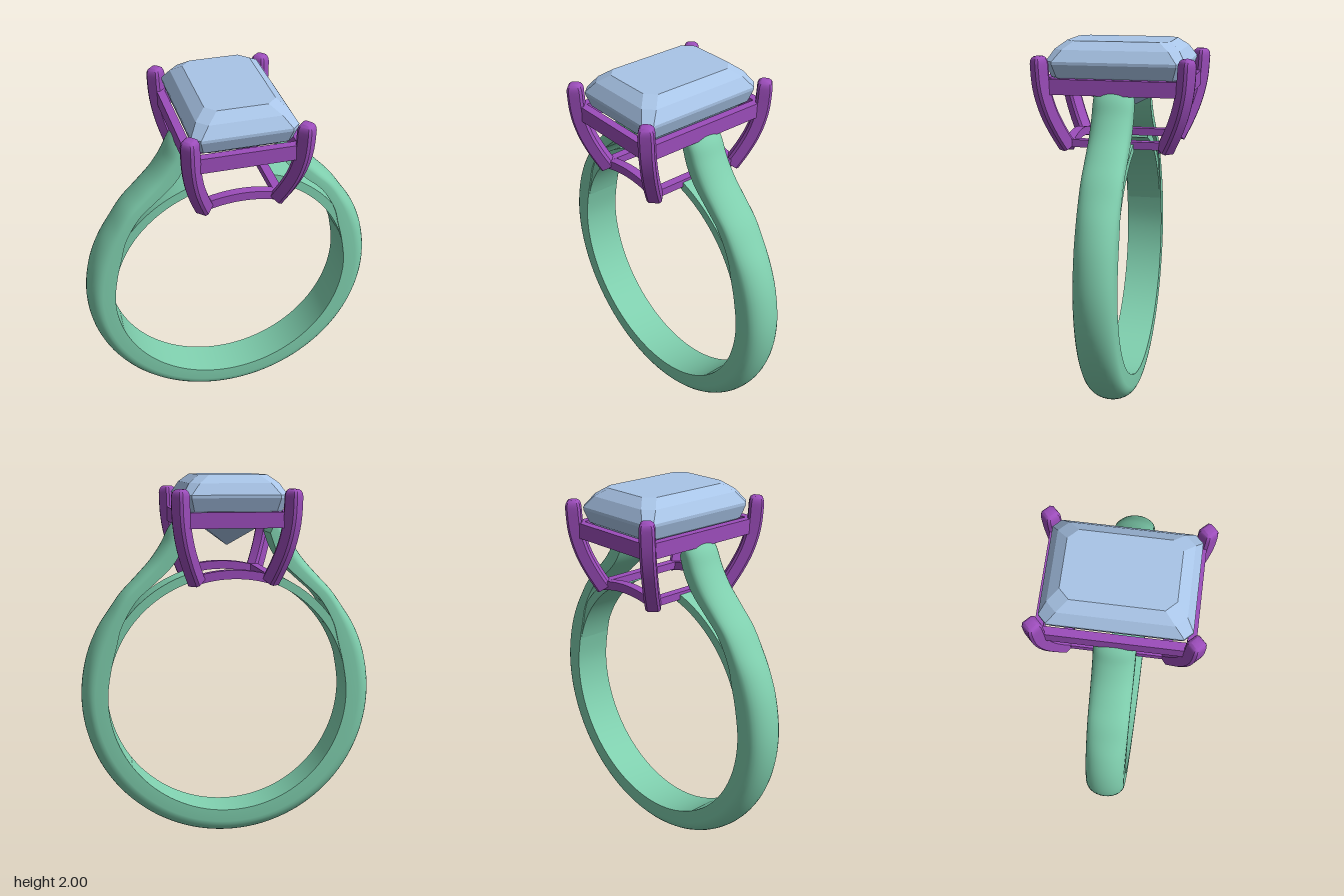
import * as THREE from 'three';
import { toCreasedNormals } from 'three/addons/utils/BufferGeometryUtils.js';

const V = (x, y, z) => new THREE.Vector3(x, y, z);
const CY = 0.805, R_OUT = 0.803, R_IN = 0.66, HALF_W = 0.105;

// Skin a list of equal-length closed rings and cap both ends; faces always point outward
function loft(rings, crease) {
  const n = rings[0].length, pos = [], idx = [];
  rings.forEach(r => r.forEach(p => pos.push(p.x, p.y, p.z)));
  for (let i = 0; i < rings.length - 1; i++) {
    for (let j = 0; j < n; j++) {
      const a = i * n + j, b = i * n + (j + 1) % n;
      idx.push(a, b, a + n, b, b + n, a + n);
    }
  }
  [0, rings.length - 1].forEach((i, end) => {
    const c = V(0, 0, 0);
    rings[i].forEach(p => c.addScaledVector(p, 1 / n));
    const k = pos.length / 3;
    pos.push(c.x, c.y, c.z);
    for (let j = 0; j < n; j++) {
      const a = i * n + j, b = i * n + (j + 1) % n;
      if (end) idx.push(k, a, b); else idx.push(k, b, a);
    }
  });
  // Signed volume tells whether the winding must be flipped
  const at = i => V(pos[3 * i], pos[3 * i + 1], pos[3 * i + 2]);
  let vol = 0;
  for (let i = 0; i < idx.length; i += 3) vol += at(idx[i]).dot(at(idx[i + 1]).cross(at(idx[i + 2])));
  if (vol < 0) idx.reverse();
  const g = new THREE.BufferGeometry();
  g.setAttribute('position', new THREE.Float32BufferAttribute(pos, 3));
  g.setIndex(idx);
  return toCreasedNormals(g, crease);
}

// Band section between an inner and an outer point: flat inside, domed outside
function bandSection(inner, outer, w) {
  const at = (t, z) => inner.clone().lerp(outer, t).setZ(z);
  const ring = [at(0, -w), at(0, w)];
  for (let k = 0; k <= 14; k++) {
    const a = Math.PI * k / 14;
    ring.push(at(0.48 + 0.52 * Math.sin(a), w * Math.cos(a)));
  }
  return ring;
}

const polar = (r, deg) => {
  const a = deg * Math.PI / 180;
  return V(r * Math.cos(a), CY + r * Math.sin(a), 0);
};

// Shank: round below, its shoulders leaving the circle to climb to the head
function shankGeometry() {
  const half = [];
  for (let d = -75; d <= 15; d += 15) half.push([polar(R_IN, d), polar(R_OUT, d)]);
  half.push(
    [polar(0.672, 25), polar(R_OUT, 27)],
    [polar(0.70, 34), polar(0.801, 37)],
    [V(0.50, 1.335, 0), V(0.58, 1.37, 0)],
    [V(0.41, 1.42, 0), V(0.50, 1.455, 0)],
    [V(0.31, 1.515, 0), V(0.415, 1.55, 0)],
    [V(0.255, 1.60, 0), V(0.355, 1.64, 0)],
    [V(0.232, 1.66, 0), V(0.315, 1.72, 0)],
    [V(0.222, 1.69, 0), V(0.265, 1.782, 0)]);
  const mirrored = half.map(s => s.map(p => V(-p.x, p.y, 0))).reverse();
  const all = [...mirrored, [polar(R_IN, -90), polar(R_OUT, -90)], ...half];
  const [inner, outer] = [0, 1].map(k => new THREE.CatmullRomCurve3(all.map(s => s[k])));
  const rings = [], steps = 150;
  for (let i = 0; i <= steps; i++) {
    rings.push(bandSection(inner.getPoint(i / steps), outer.getPoint(i / steps), HALF_W));
  }
  return loft(rings, 0.6);
}

// Thin inner band carrying the circle on beneath each shoulder
function innerBandGeometry(side) {
  const rings = [];
  for (let i = 0; i <= 24; i++) {
    const d = 15 + 58 * i / 24, a = side > 0 ? d : 180 - d;
    const p = polar(R_IN, a), q = polar(0.707, a), w = 0.097;
    rings.push([p.clone().setZ(-w), p.clone().setZ(w), q.clone().setZ(w), q.clone().setZ(-w)]);
  }
  return loft(rings, 0.6);
}

// Prong: square bar set on the diagonal, curving outward to a rounded tip
function prongGeometry(sx, sz) {
  const path = new THREE.CatmullRomCurve3([
    V(0.195, 1.452, 0.262), V(0.232, 1.55, 0.308), V(0.262, 1.65, 0.345),
    V(0.282, 1.77, 0.372), V(0.288, 1.93, 0.383)]);
  const lateral = V(1, 0, -1).normalize(), rings = [];
  const h = 0.039, c = 0.012;
  const section = [[h, h - c], [h - c, h], [c - h, h], [-h, h - c],
    [-h, c - h], [c - h, -h], [h - c, -h], [h, c - h]];
  const add = (t, scale) => {
    const p = path.getPoint(t);
    const normal = lateral.clone().cross(path.getTangent(t)).normalize();
    rings.push(section.map(([u, v]) => {
      const q = p.clone().addScaledVector(lateral, u * scale).addScaledVector(normal, v * scale);
      return V(q.x * sx, q.y, q.z * sz);
    }));
  };
  for (let i = 0; i <= 18; i++) add(i / 18 * 0.94, 1);
  [[0.965, 0.95], [0.985, 0.82], [1, 0.55]].forEach(([t, s]) => add(t, s));
  return loft(rings, 0.7);
}

// Arched base rail following the finger opening
function archRailGeometry(z) {
  const rings = [];
  for (let i = 0; i <= 16; i++) {
    const a = 72 + 36 * i / 16, p = polar(0.662, a), q = polar(0.708, a);
    rings.push([[p, -1], [p, 1], [q, 1], [q, -1]].map(([v, s]) => v.clone().setZ(z + s * 0.024)));
  }
  return loft(rings, 0.6);
}

// Upper gallery: an upright rectangular frame around the stone
function galleryGeometry() {
  const rect = (s, x, z) => {
    s.moveTo(-x, -z); s.lineTo(x, -z); s.lineTo(x, z); s.lineTo(-x, z); s.closePath();
    return s;
  };
  const shape = rect(new THREE.Shape(), 0.293, 0.383);
  shape.holes.push(rect(new THREE.Path(), 0.25, 0.34));
  const g = new THREE.ExtrudeGeometry(shape, { depth: 0.08, bevelEnabled: false });
  return g.rotateX(-Math.PI / 2).translate(0, 1.735, 0);
}

// Step-cut stone: clipped rectangles from the culet up to the table
function stoneGeometry() {
  const levels = [
    [1.622, 0.002, 0.002, 0.0005], [1.735, 0.15, 0.21, 0.02], [1.82, 0.247, 0.338, 0.035],
    [1.885, 0.268, 0.362, 0.04], [1.9, 0.268, 0.362, 0.04],
    [1.958, 0.232, 0.326, 0.05], [2.0, 0.178, 0.272, 0.05]];
  return loft(levels.map(([y, x, z, c]) => [
    V(x, y, z - c), V(x - c, y, z), V(c - x, y, z), V(-x, y, z - c),
    V(-x, y, c - z), V(c - x, y, -z), V(x - c, y, -z), V(x, y, c - z)]), 0.02);
}

export function createModel() {
  const model = new THREE.Group();
  model.name = 'ring';
  const bandMat = new THREE.MeshStandardMaterial({ color: 0x7fcfae });
  const headMat = new THREE.MeshStandardMaterial({ color: 0x9c4dbb });
  const stoneMat = new THREE.MeshStandardMaterial({ color: 0xa9c5e8, flatShading: true });
  const add = (name, geometry, material) => {
    const mesh = new THREE.Mesh(geometry, material);
    mesh.name = name;
    model.add(mesh);
    return mesh;
  };

  add('shank', shankGeometry(), bandMat);
  add('gallery', galleryGeometry(), headMat);
  add('stone', stoneGeometry(), stoneMat);

  for (const s of [1, -1]) {
    const side = s > 0 ? 'left' : 'right', end = s > 0 ? 'front' : 'back';
    add(side + 'InnerBand', innerBandGeometry(s), bandMat);
    add(end + 'BaseRail', archRailGeometry(s * 0.25), headMat);
    // Straight base rails between the prong feet
    add(side + 'BaseRail', new THREE.BoxGeometry(0.046, 0.04, 0.5), headMat)
      .position.set(s * 0.195, 1.472, 0);
    for (const z of [1, -1]) {
      add(side + (z > 0 ? 'Front' : 'Back') + 'Prong', prongGeometry(s, z), headMat);
    }
  }
  return model;
}
